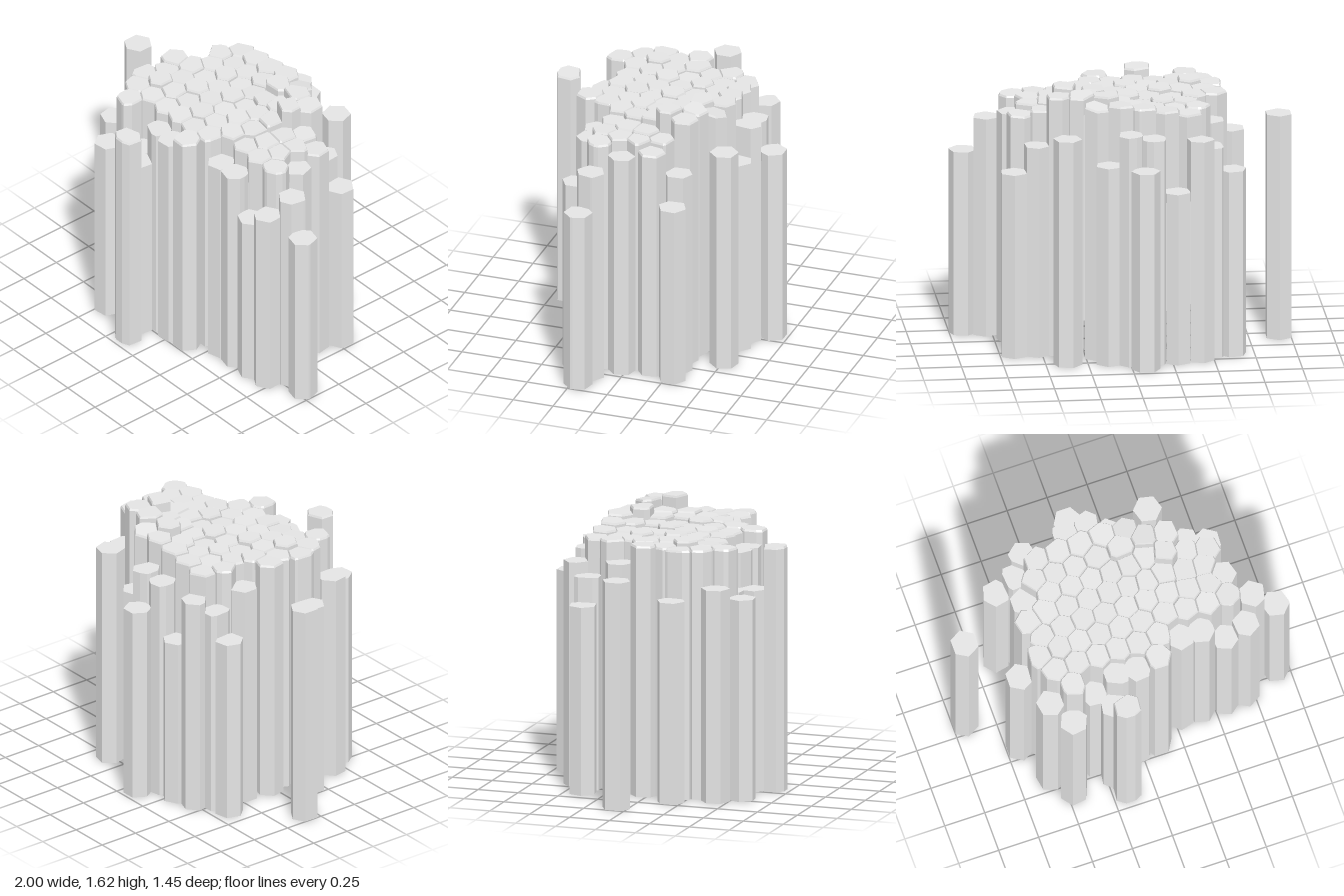
import * as THREE from 'three';

// Rim columns: x, z, height
const backRim = [
  [-0.08, -0.655, 1.22], [0.37, -0.51, 1.39], [-0.42, -0.49, 1.36], [-0.28, -0.52, 1.05],
  [-0.14, -0.52, 1.38], [0, -0.53, 1.41], [0.12, -0.51, 1.22], [-0.62, -0.39, 1.14],
  [-0.5, -0.4, 1.29], [0.18, -0.38, 1.55], [0.27, -0.29, 1.6], [0.4, -0.27, 1.59],
  [0.53, -0.28, 1.29], [0.665, -0.29, 1.13], [-0.42, -0.27, 1.51], [-0.51, -0.2, 1.39],
  [0.49, -0.16, 1.48], [0.61, -0.14, 1.45], [-0.93, -0.07, 1.38], [-0.54, -0.03, 1.52],
  [0.56, -0.04, 1.49], [0.65, 0.03, 1.41],
];
const frontRim = [
  [-0.49, 0.08, 1.51], [-0.67, 0.18, 1.22], [-0.55, 0.19, 1.51], [-0.49, 0.3, 1.51],
  [-0.56, 0.42, 1.29], [-0.46, 0.55, 1.22], [-0.42, 0.42, 1.51], [-0.29, 0.42, 1.22],
  [-0.2, 0.53, 1.22], [-0.16, 0.65, 1.48], [-0.15, 0.42, 1.43], [-0.02, 0.43, 1.43],
  [0.11, 0.42, 1.51], [0.16, 0.29, 1.51], [0.29, 0.31, 1.38], [0.42, 0.31, 1.38],
  [0.57, 0.31, 1.13], [0.7, 0.3, 1.22], [0.5, 0.19, 1.49], [0.63, 0.18, 1.48],
  [0.785, 0.18, 1.34], [0.92, 0.21, 1.13],
];
const inner = [
  [-0.37, -0.4, 1.5], [-0.23, -0.39, 1.52], [-0.1, -0.38, 1.54], [0.05, -0.39, 1.56],
  [-0.29, -0.27, 1.5], [-0.17, -0.27, 1.51], [-0.03, -0.28, 1.53], [0.12, -0.28, 1.59],
  [-0.36, -0.17, 1.51], [-0.23, -0.16, 1.52], [-0.1, -0.17, 1.5], [0.02, -0.16, 1.52],
  [0.13, -0.16, 1.54], [0.24, -0.18, 1.55], [0.35, -0.15, 1.62], [-0.42, -0.06, 1.52],
  [-0.29, -0.06, 1.5], [-0.16, -0.05, 1.51], [-0.03, -0.05, 1.53], [0.09, -0.05, 1.51],
  [0.2, -0.04, 1.53], [0.31, -0.06, 1.54], [0.44, -0.05, 1.5], [-0.36, 0.07, 1.52],
  [-0.23, 0.06, 1.53], [-0.1, 0.07, 1.52], [0.04, 0.07, 1.51], [0.16, 0.07, 1.53],
  [0.29, 0.07, 1.52], [0.42, 0.08, 1.5], [0.55, 0.08, 1.49], [-0.42, 0.18, 1.54],
  [-0.3, 0.18, 1.52], [-0.17, 0.17, 1.51], [-0.04, 0.18, 1.52], [0.09, 0.18, 1.51],
  [0.24, 0.18, 1.52], [0.37, 0.18, 1.49], [-0.35, 0.3, 1.51], [-0.22, 0.3, 1.5],
  [-0.1, 0.3, 1.51], [0.03, 0.3, 1.5],
];
const broken = new Set([backRim[9], backRim[10]]);

let seed = 7;
const rand = () => (seed = (seed * 16807) % 2147483647) / 2147483647;

// Keep the part of a polygon where nx*x + nz*z <= d.
// A corner's third value is the height of the neighbour behind the side it starts (0 = open air).
function clip(poly, nx, nz, d, neighbour) {
  const out = [];
  poly.forEach((a, i) => {
    const b = poly[(i + 1) % poly.length];
    const da = nx * a[0] + nz * a[1] - d, db = nx * b[0] + nz * b[1] - d;
    if (da <= 0) out.push(a);
    if ((da <= 0) !== (db <= 0)) {
      const t = da / (da - db);
      out.push([a[0] + (b[0] - a[0]) * t, a[1] + (b[1] - a[1]) * t, da <= 0 ? neighbour : a[2]]);
    }
  });
  return out;
}

// Hexagon around a column centre, cut halfway to each neighbour
function cell(c, all, radius) {
  const turn = rand() * Math.PI / 3;
  let poly = [];
  for (let i = 0; i < 6; i++) {
    const a = turn + i * Math.PI / 3;
    poly.push([c[0] + Math.cos(a) * radius, c[1] + Math.sin(a) * radius, 0]);
  }
  for (const o of all) {
    const dx = o[0] - c[0], dz = o[1] - c[1], len = Math.hypot(dx, dz);
    if (o === c || len > 0.25) continue;
    const nx = dx / len, nz = dz / len;
    poly = clip(poly, nx, nz, nx * c[0] + nz * c[1] + len / 2, o[2]);
  }
  for (const [nx, nz, d] of [[1, 0, 1], [-1, 0, 1], [0, 1, 0.72], [0, -1, 0.73]]) poly = clip(poly, nx, nz, d, 0);
  // Drop corners that nearly coincide
  return poly.filter((p, i) => {
    const q = poly[(i + 1) % poly.length];
    return Math.hypot(p[0] - q[0], p[1] - q[1]) > 0.004;
  });
}

// Open-bottomed column; sides against a neighbour only reach just below that neighbour's top
function columnGeometry(poly, c, openBase, bevel, slope) {
  const tx = (rand() - 0.5) * slope, tz = (rand() - 0.5) * slope, n = poly.length;
  const ring = (k, drop) => poly.map(([x, z]) => {
    const px = c[0] + (x - c[0]) * k, pz = c[1] + (z - c[1]) * k;
    return [px, c[2] - drop + (px - c[0]) * tx + (pz - c[1]) * tz, pz];
  });
  const pos = [];
  const quad = (a, b, e, f) => pos.push(...a, ...e, ...b, ...b, ...e, ...f);
  const shoulder = ring(1, bevel), top = bevel > 0 ? ring(0.92, 0) : shoulder;
  for (let i = 0; i < n; i++) {
    const j = (i + 1) % n, neighbour = poly[i][2];
    const base = neighbour > 0 ? Math.min(neighbour, c[2]) - 0.06 : openBase;
    const foot = (p) => [p[0], base, p[1]];
    quad(foot(poly[i]), foot(poly[j]), shoulder[i], shoulder[j]);
    if (bevel > 0) quad(shoulder[i], shoulder[j], top[i], top[j]);
  }
  for (let i = 1; i + 1 < n; i++) pos.push(...top[0], ...top[i + 1], ...top[i]);
  const g = new THREE.BufferGeometry();
  g.setAttribute('position', new THREE.Float32BufferAttribute(pos, 3));
  g.computeVertexNormals();
  return g;
}

export function createModel() {
  const model = new THREE.Group();
  model.name = 'basaltColumns';
  const stone = new THREE.MeshStandardMaterial({ color: 0xe4e4e4, side: THREE.DoubleSide });
  stone.name = 'grey stone';
  const all = [...backRim, ...frontRim, ...inner];

  const addColumns = (list, groupName, name, openBase, radius) => {
    const group = new THREE.Group();
    group.name = groupName;
    for (const c of list) {
      const tall = c[2] > 1.44;
      const slope = broken.has(c) ? 0.35 : tall ? 0.08 : 0;
      const poly = cell(c, all, radius);
      const mesh = new THREE.Mesh(columnGeometry(poly, c, openBase, tall ? 0.012 : 0, slope), stone);
      mesh.name = name;
      group.add(mesh);
    }
    model.add(group);
  };
  addColumns(backRim, 'backRim', 'rimColumn', 0, 0.086);
  addColumns(frontRim, 'frontRim', 'rimColumn', 0, 0.086);
  addColumns(inner, 'innerCluster', 'innerColumn', 1.3, 0.1);
  return model;
}
